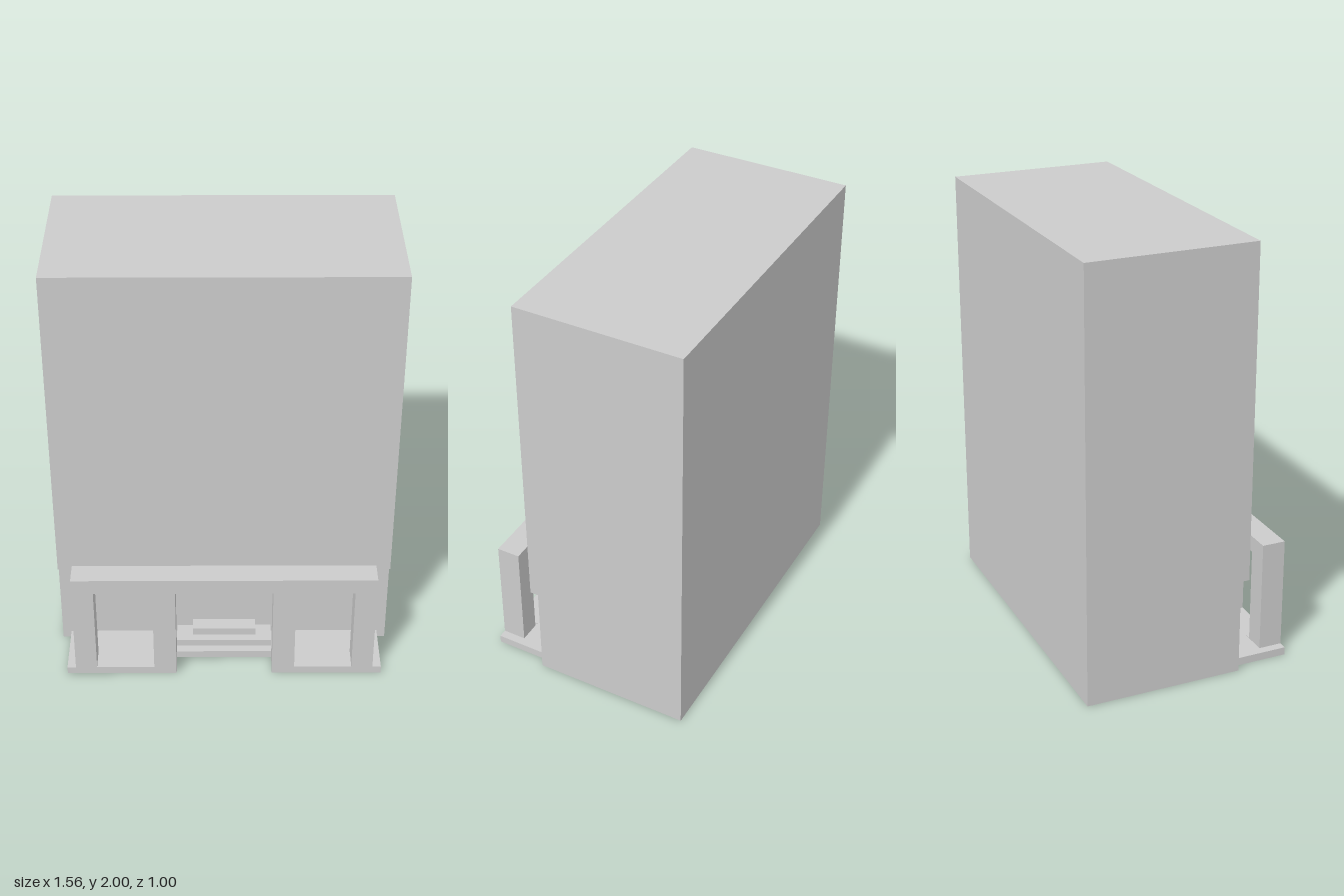
import * as THREE from 'three';

const material = new THREE.MeshStandardMaterial({ color: 0xcccccc, flatShading: true });

function addMesh(group, name, geometry) {
  const mesh = new THREE.Mesh(geometry, material);
  mesh.name = name;
  group.add(mesh);
  return mesh;
}

// Box given by its lower and upper corners
function addBox(group, name, [x0, y0, z0], [x1, y1, z1]) {
  addMesh(group, name, new THREE.BoxGeometry(x1 - x0, y1 - y0, z1 - z0))
    .position.set((x0 + x1) / 2, (y0 + y1) / 2, (z0 + z1) / 2);
}

const outline = (points) => new THREE.Shape(points.map(([x, y]) => new THREE.Vector2(x, y)));
const extrude = (shape, depth) => new THREE.ExtrudeGeometry(shape, { depth, bevelEnabled: false });

export function createModel() {
  const group = new THREE.Group();
  const halfWidth = 0.78, back = -0.5, front = 0.5;
  const wallFront = 0.24, porticoBack = 0.39;
  const slabTop = 0.037, door = 0.225;

  // Tower block: side profile (z, y) with a recessed ground floor, extruded across x
  const side = outline([[back, 0], [wallFront, 0], [wallFront, 0.45], [0.28, 0.45], [0.28, 2], [back, 2]]);
  addMesh(group, 'towerBlock', extrude(side, halfWidth * 2)
    .rotateY(-Math.PI / 2).scale(1, 1, 1).translate(halfWidth, 0, 0));

  // Porch slab: plan (x, -z) with a notch at the doorway, extruded upwards
  const plan = outline([
    [-0.74, -front], [-door, -front], [-door, -porticoBack], [door, -porticoBack],
    [door, -front], [0.74, -front], [0.74, -wallFront], [-0.74, -wallFront],
  ]);
  addMesh(group, 'porchSlab', extrude(plan, slabTop).rotateX(-Math.PI / 2));

  // Portico screen: open doorway in the middle, a window opening on each side
  const screen = outline([
    [-0.7, slabTop], [-door, slabTop], [-door, 0.485], [door, 0.485],
    [door, slabTop], [0.7, slabTop], [0.7, 0.56], [-0.7, 0.56],
  ]);
  for (const s of [-1, 1]) {
    const hole = [[0.33, slabTop + 0.001], [0.6, slabTop + 0.001], [0.6, 0.485], [0.33, 0.485]];
    screen.holes.push(new THREE.Path(hole.map(([x, y]) => new THREE.Vector2(s * x, y))));
  }
  addMesh(group, 'porticoScreen', extrude(screen, front - porticoBack).translate(0, 0, porticoBack));

  // Entrance steps against the wall
  addBox(group, 'lowerStep', [-door, slabTop, wallFront], [door, 0.073, 0.35]);
  addBox(group, 'upperStep', [-0.15, 0.073, wallFront], [0.15, 0.11, 0.31]);

  return group;
}
